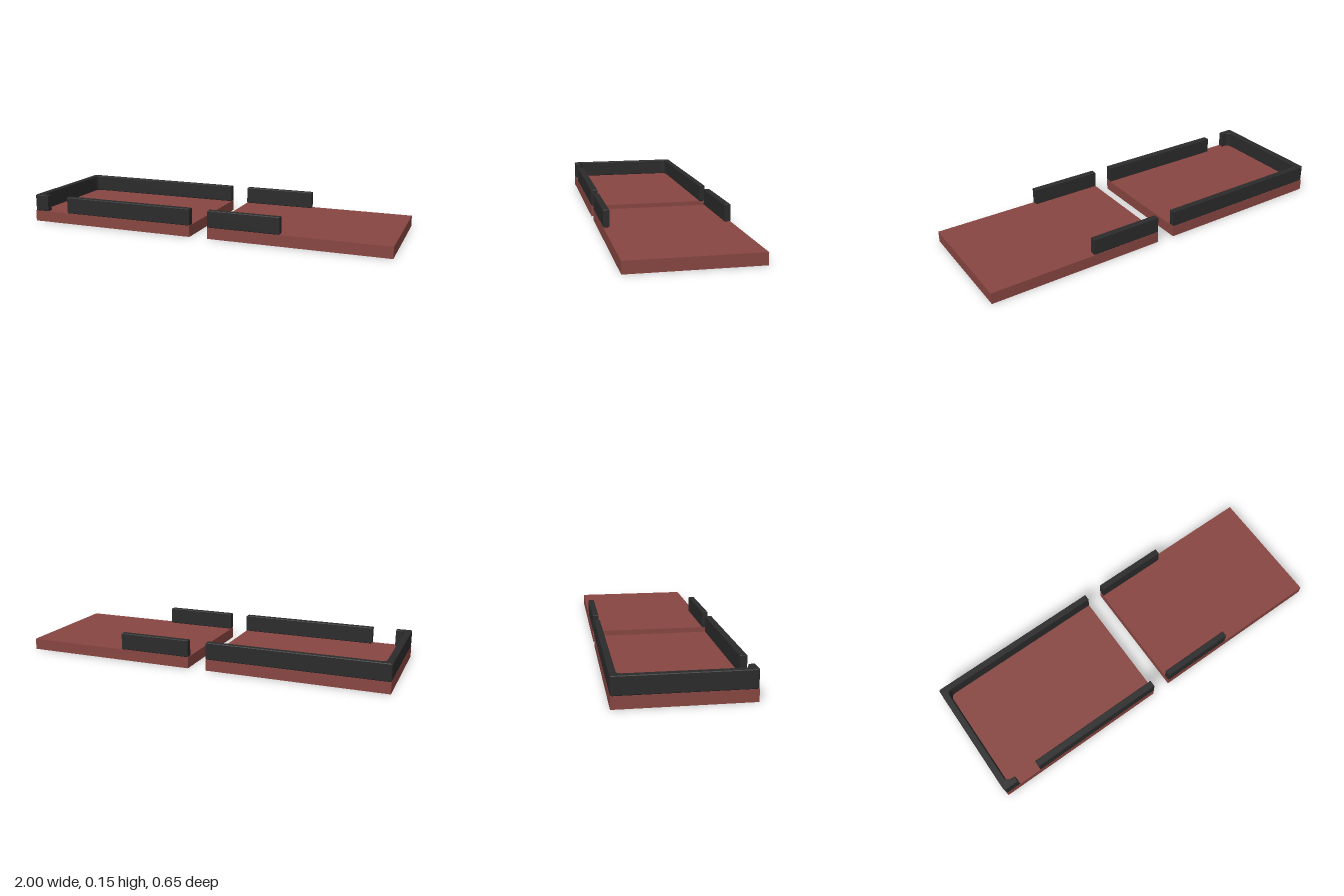
import * as THREE from 'three';

const WIDTH = 0.95, HALF_DEPTH = 0.326, FLOOR = 0.06, TOP = 0.15, T = 0.032;

const red = new THREE.MeshStandardMaterial({ color: 0x884641, side: THREE.DoubleSide });
red.name = 'brick red';
const black = new THREE.MeshStandardMaterial({ color: 0x2b2b2b });
black.name = 'charcoal';

// Thin-shelled base slab, open underneath
function base(name, x) {
  const geo = new THREE.BoxGeometry(WIDTH, FLOOR, HALF_DEPTH * 2);
  const index = Array.from(geo.index.array);
  index.splice(18, 6); // drop the bottom face
  geo.setIndex(index);
  geo.clearGroups();
  const mesh = new THREE.Mesh(geo, red);
  mesh.name = name;
  mesh.position.set(x, FLOOR / 2, 0);
  return mesh;
}

// Raised wall from a plan outline (shape y points to the back)
function wall(name, shape) {
  const bevel = 0.003;
  const geo = new THREE.ExtrudeGeometry(shape, {
    depth: TOP - FLOOR - 2 * bevel, bevelThickness: bevel, bevelSize: bevel,
    bevelOffset: -bevel, bevelSegments: 1, curveSegments: 6,
  });
  geo.rotateX(-Math.PI / 2);
  geo.translate(0, FLOOR + bevel, 0);
  const mesh = new THREE.Mesh(geo, black);
  mesh.name = name;
  return mesh;
}

function strip(x0, x1, y0, y1) {
  return new THREE.Shape([[x0, y0], [x1, y0], [x1, y1], [x0, y1]].map(p => new THREE.Vector2(...p)));
}

// Hooked wall: back run, closed end and short front return with rounded corners
function hookShape() {
  const d = HALF_DEPTH, i = d - T, xi = -1 + T + 0.003, r = 0.03, o = 0.012;
  const s = new THREE.Shape();
  s.moveTo(-1 + o, -d);
  s.lineTo(-0.917, -d);
  s.lineTo(-0.917, -i);
  s.lineTo(xi + r, -i);
  s.quadraticCurveTo(xi, -i, xi, -i + r);
  s.lineTo(xi, i - r);
  s.quadraticCurveTo(xi, i, xi + r, i);
  s.lineTo(-0.05, i);
  s.lineTo(-0.05, d);
  s.lineTo(-1 + o, d);
  s.quadraticCurveTo(-1, d, -1, d - o);
  s.lineTo(-1, -d + o);
  s.quadraticCurveTo(-1, -d, -1 + o, -d);
  return s;
}

export function createModel() {
  const model = new THREE.Group();
  model.name = 'trayPair';
  const inner = HALF_DEPTH - T;

  // Walled tray
  model.add(base('rightBase', -0.525));
  model.add(wall('hookedWall', hookShape()));
  model.add(wall('rightFrontRail', strip(-0.79, -0.05, -HALF_DEPTH, -inner + 0.004)));

  // Open tray with two short rails
  model.add(base('leftBase', 0.525));
  model.add(wall('leftFrontRail', strip(0.05, 0.44, -HALF_DEPTH, -inner)));
  model.add(wall('leftBackRail', strip(0.05, 0.44, inner, HALF_DEPTH)));
  return model;
}
